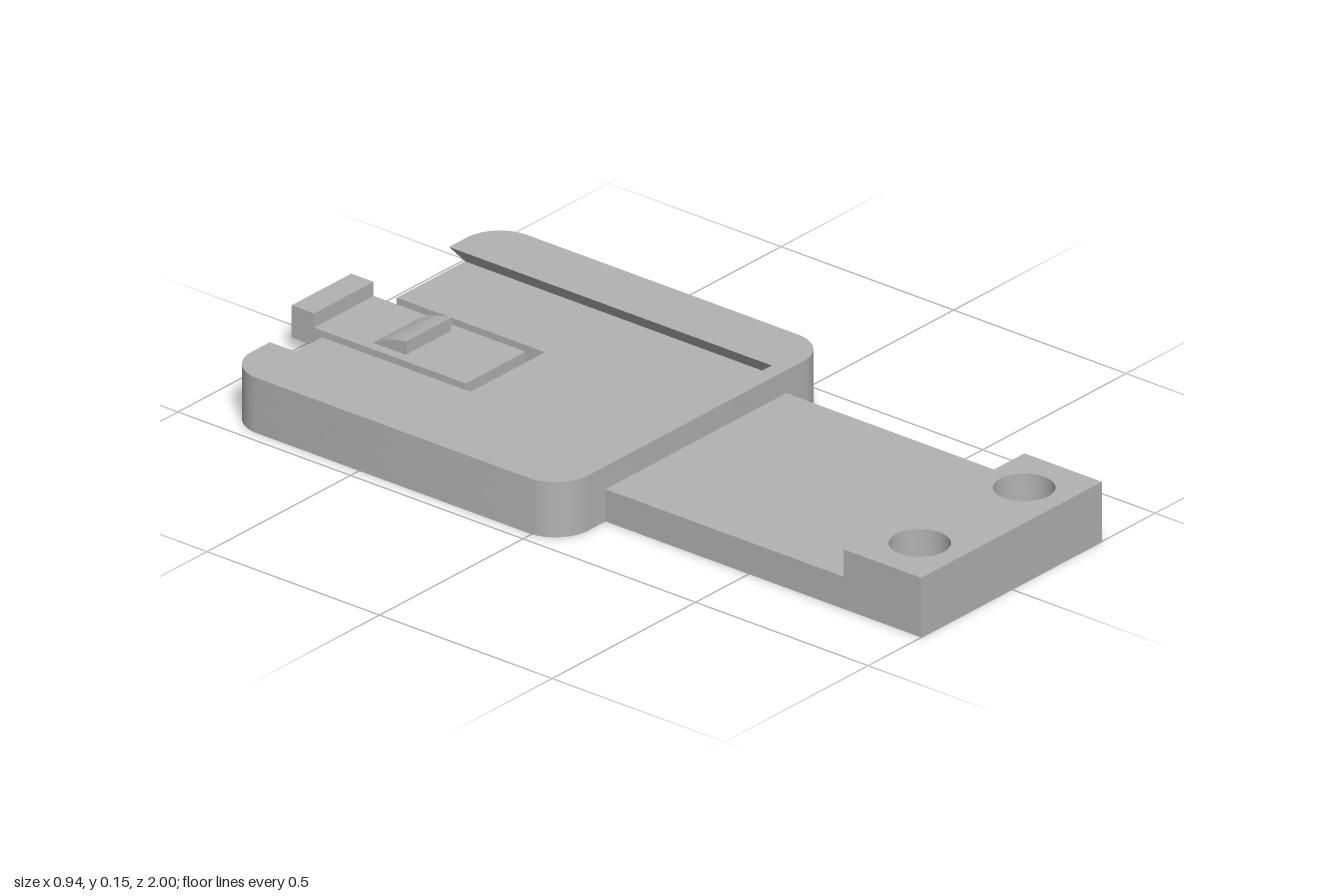
import * as THREE from 'three';
import { toCreasedNormals } from 'three/addons/utils/BufferGeometryUtils.js';

const FLOOR = 0.08, TOP = 0.137;
const FRONT = 0.085, BACK = -0.89, HALF = 0.47, R = 0.095;
const SLOT = 0.13, SLOT_END = -0.46;

export function createModel() {
  const group = new THREE.Group();
  const grey = new THREE.MeshStandardMaterial({ color: 0xb2b2b2 });

  const add = (name, geometry) => {
    const mesh = new THREE.Mesh(geometry, grey);
    mesh.name = name;
    group.add(mesh);
  };

  // Plan outlines are drawn in (x, -z) and raised from y0 to y1
  const raise = (shape, y0, y1) =>
    new THREE.ExtrudeGeometry(shape, { depth: y1 - y0, bevelEnabled: false, curveSegments: 16 })
      .rotateX(-Math.PI / 2).translate(0, y0, 0);

  const box = (name, x, y0, y1, z0, z1) =>
    add(name, new THREE.BoxGeometry(2 * x, y1 - y0, z1 - z0).translate(0, (y0 + y1) / 2, (z0 + z1) / 2));

  // Rounded body outline with a rectangular cut entering from the back
  const bodyOutline = (cutX, cutZ) => {
    const s = new THREE.Shape();
    s.moveTo(cutX, -cutZ);
    s.lineTo(-cutX, -cutZ);
    s.lineTo(-cutX, -BACK);
    s.lineTo(-HALF + R, -BACK);
    s.absarc(-HALF + R, -BACK - R, R, Math.PI / 2, Math.PI, false);
    s.absarc(-HALF + R, -FRONT + R, R, Math.PI, Math.PI * 1.5, false);
    s.absarc(HALF - R, -FRONT + R, R, Math.PI * 1.5, Math.PI * 2, false);
    s.absarc(HALF - R, -BACK - R, R, 0, Math.PI / 2, false);
    s.lineTo(cutX, -BACK);
    s.closePath();
    return s;
  };

  // Body floor with the clearance slot for the latch
  add('bodyFloor', toCreasedNormals(raise(bodyOutline(SLOT, SLOT_END), 0, FLOOR), 0.5));

  // Raised rim; its side walls are undercut into a dovetail
  const rim = raise(bodyOutline(0.312, 0.045), FLOOR, TOP);
  const p = rim.attributes.position;
  for (let i = 0; i < p.count; i++) {
    const x = p.getX(i);
    if (Math.abs(Math.abs(x) - 0.312) < 0.001 && p.getY(i) < FLOOR + 0.001) {
      p.setX(i, x + Math.sign(x) * 0.056);
    }
  }
  add('dovetailRim', toCreasedNormals(rim, 0.5));

  // Arm and mounting block with counterbored screw holes
  box('arm', 0.315, 0, FLOOR, FRONT - 0.01, 0.775);
  const blockOutline = (radius) => {
    const s = new THREE.Shape();
    s.moveTo(-0.315, -1);
    s.lineTo(0.315, -1);
    s.lineTo(0.315, -0.775);
    s.lineTo(-0.315, -0.775);
    s.closePath();
    for (const side of [-1, 1]) {
      s.holes.push(new THREE.Path().absarc(side * 0.182, -0.885, radius, 0, Math.PI * 2, true));
    }
    return s;
  };
  add('mountingBlockLower', toCreasedNormals(raise(blockOutline(0.04), 0, 0.07), 0.5));
  add('mountingBlockUpper', toCreasedNormals(raise(blockOutline(0.07), 0.07, 0.148), 0.5));

  // Latch tongue with a raised finger lip
  const tongue = new THREE.Shape([
    [-1, 0.035], [-0.495, 0.035], [-0.495, FLOOR], [-0.935, FLOOR], [-0.935, 0.115], [-1, 0.115],
  ].map(([z, y]) => new THREE.Vector2(-z, y)));

  // Latch catch: a curved ramp ending in an upright face
  const ramp = new THREE.Shape();
  ramp.moveTo(0.785, FLOOR);
  ramp.quadraticCurveTo(0.745, 0.108, 0.69, 0.113);
  ramp.lineTo(0.69, FLOOR);
  ramp.closePath();

  // Side profiles are drawn in (-z, y) and extruded across x
  const across = (shape, half) => toCreasedNormals(
    new THREE.ExtrudeGeometry(shape, { depth: 2 * half, bevelEnabled: false, curveSegments: 10 })
      .translate(0, 0, -half).rotateY(Math.PI / 2), 0.5);
  add('latchTongue', across(tongue, 0.104));
  add('latchCatch', across(ramp, 0.079));

  return group;
}
